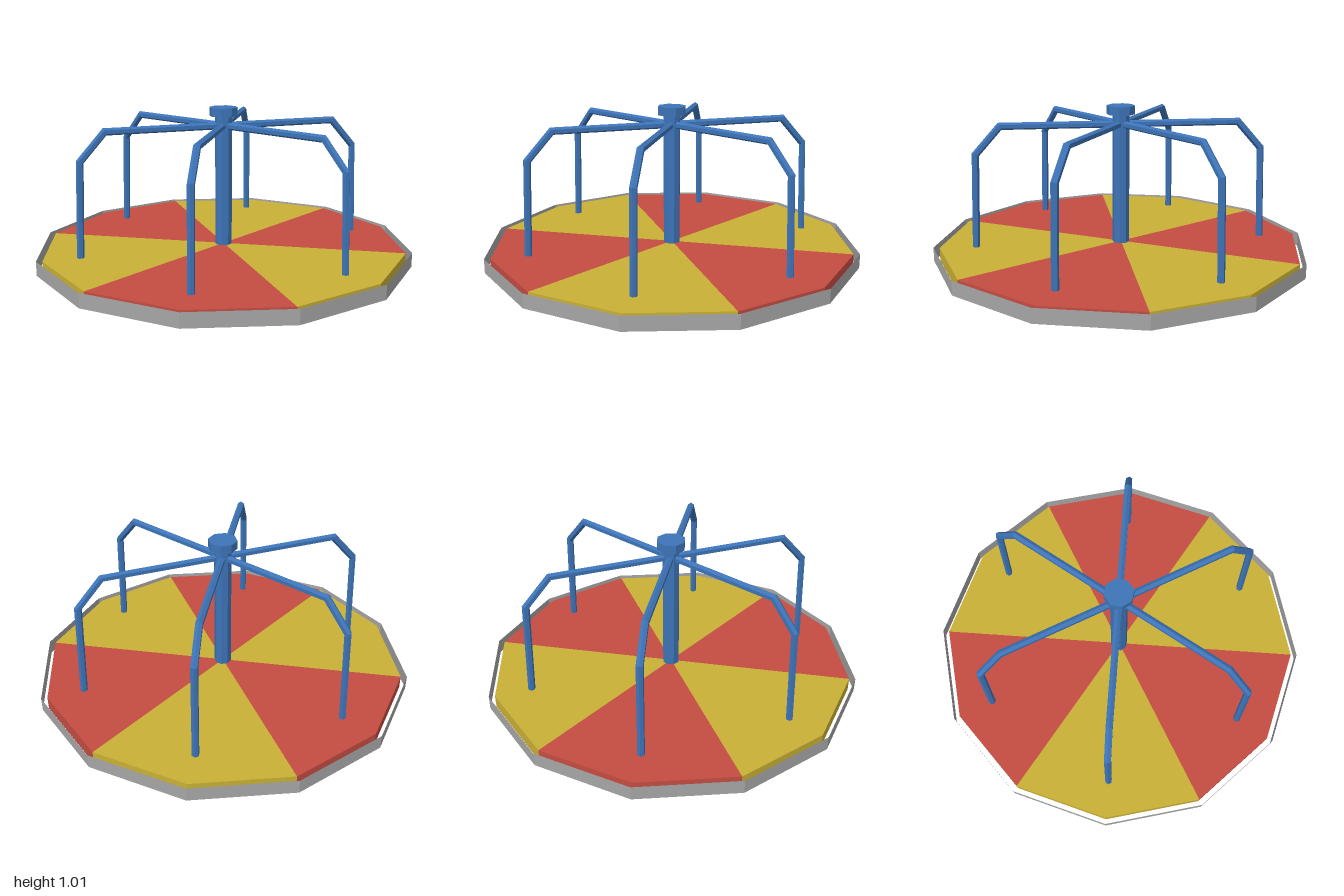
import * as THREE from 'three';

const material = (name, color, extra = {}) =>
  new THREE.MeshStandardMaterial({ name, color, flatShading: true, ...extra });

function addCylinder(parent, name, mat, rTop, rBottom, y0, y1, sides) {
  const mesh = new THREE.Mesh(new THREE.CylinderGeometry(rTop, rBottom, y1 - y0, sides), mat);
  mesh.name = name;
  mesh.position.y = (y0 + y1) / 2;
  parent.add(mesh);
  return mesh;
}

// Mitred pipe along a polyline of [radius, height] points in the z-y plane
function pipeGeometry(path, radius, sides) {
  const pts = path.map(([r, y]) => new THREE.Vector2(r, y));
  const positions = [], index = [];
  const direction = (i) => pts[i + 1].clone().sub(pts[i]).normalize();
  pts.forEach((p, i) => {
    const before = direction(Math.max(i - 1, 0));
    const after = direction(Math.min(i, pts.length - 2));
    const tangent = before.clone().add(after).normalize();
    const stretch = radius / tangent.dot(after);
    for (let s = 0; s < sides; s++) {
      const a = (s / sides) * Math.PI * 2;
      const n = Math.cos(a) * stretch;
      positions.push(Math.sin(a) * radius, p.y + tangent.x * n, p.x - tangent.y * n);
    }
  });
  for (let i = 0; i < pts.length - 1; i++) {
    for (let s = 0; s < sides; s++) {
      const a = i * sides + s, b = i * sides + (s + 1) % sides;
      index.push(a, a + sides, b, b, a + sides, b + sides);
    }
  }
  const geometry = new THREE.BufferGeometry();
  geometry.setAttribute('position', new THREE.Float32BufferAttribute(positions, 3));
  geometry.setIndex(index);
  geometry.computeVertexNormals();
  return geometry;
}

export function createModel() {
  const model = new THREE.Group();
  model.name = 'merryGoRound';

  const blue = material('bluePaint', 0x3d74b8, { side: THREE.DoubleSide });
  const red = material('redPaint', 0xc44c42);
  const yellow = material('yellowPaint', 0xc9b035);
  const steel = material('rimSteel', 0xa6a6a6, { side: THREE.DoubleSide });
  const concrete = material('pedestalGrey', 0xb4b6b2);

  // Foot plate and tapered pedestal
  addCylinder(model, 'footPlate', steel, 0.388, 0.388, 0, 0.03, 12);
  addCylinder(model, 'pedestal', concrete, 0.112, 0.155, 0.03, 0.21, 8);

  // Deck of six alternating wedges
  const deck = new THREE.Group();
  deck.name = 'deck';
  for (let i = 0; i < 6; i++) {
    const start = -Math.PI / 6 + (i * Math.PI) / 3;
    const wedge = new THREE.Mesh(
      new THREE.CylinderGeometry(0.968, 0.968, 0.07, 2, 1, false, start, Math.PI / 3),
      i % 2 ? yellow : red);
    wedge.name = 'deckWedge' + (i + 1);
    wedge.position.y = 0.237;
    deck.add(wedge);
  }
  model.add(deck);

  // Thin open rim, standing slightly clear of the deck
  const rim = new THREE.Mesh(new THREE.CylinderGeometry(1, 1, 0.075, 12, 1, true), steel);
  rim.name = 'rim';
  rim.position.y = 0.2375;
  model.add(rim);

  // Centre post and its cap
  addCylinder(model, 'centrePost', blue, 0.045, 0.045, 0.21, 0.98, 8);
  addCylinder(model, 'postCap', blue, 0.075, 0.075, 0.967, 1.012, 8);

  // Six bent handrails
  const railGeometry = pipeGeometry([[0.776, 0.25], [0.757, 0.77], [0.628, 0.915], [0, 0.915]], 0.019, 6);
  for (let i = 0; i < 6; i++) {
    const rail = new THREE.Mesh(railGeometry, blue);
    rail.name = 'handrail' + (i + 1);
    rail.rotation.y = (i * Math.PI) / 3;
    model.add(rail);
  }

  return model;
}
